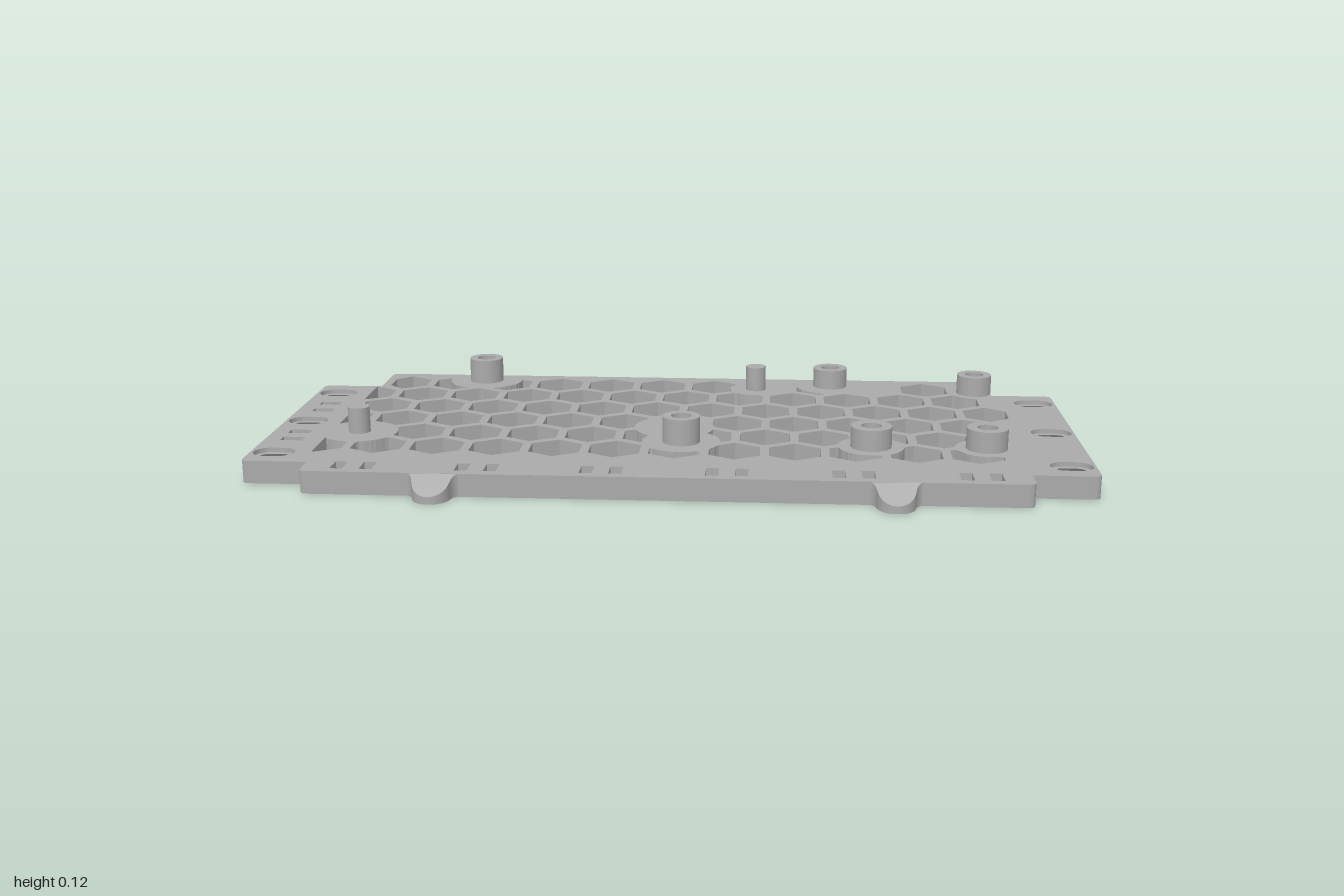
import * as THREE from 'three';

const T = 0.055; // plate thickness
const V = (x, z) => new THREE.Vector2(x, -z);

// bosses and posts: x, z, outer radius, hole radius, top height
const bosses = [
  [-0.562, -0.455, 0.046, 0.025, 0.12], [0.025, 0.14, 0.046, 0.025, 0.12],
  [0.406, -0.448, 0.046, 0.025, 0.107], [0.797, -0.39, 0.046, 0.025, 0.107],
  [0.487, 0.155, 0.05, 0.025, 0.107], [0.765, 0.155, 0.05, 0.025, 0.107],
];
const posts = [[0.2, -0.396], [-0.785, 0.1]];

// solid round areas that the honeycomb leaves free: x, z, radius
const pads = [
  [-0.562, -0.455, 0.1], [0.025, 0.14, 0.095], [0.406, -0.448, 0.095], [0.797, -0.39, 0.065],
  [0.487, 0.155, 0.08], [0.765, 0.155, 0.075], [0.2, -0.396, 0.07], [-0.785, 0.1, 0.095], [0, 0.01, 0.1],
];
const clearance = (x, z) => Math.min(...pads.map(([a, b, r]) => Math.hypot(x - a, z - b) - r));

// mounting slots at the two ends
const slotX = 0.943, slotZ = [0.295, 0.008, -0.28];
const CU = 0.057, CI = -0.08, CV = 0.058; // slot cell extents

function extrude(shape, y0, y1) {
  const g = new THREE.ExtrudeGeometry(shape, { depth: y1 - y0, bevelEnabled: false, curveSegments: 20 });
  return g.rotateX(-Math.PI / 2).translate(0, y0, 0);
}

function circle(x, z, r) {
  return new THREE.Path().absarc(x, -z, r, 0, Math.PI * 2, true);
}

function rect(x, z, w, d) {
  const a = w / 2, b = d / 2;
  return new THREE.Path([V(x - a, z - b), V(x + a, z - b), V(x + a, z + b), V(x - a, z + b)]);
}

// closed outline from [x, z, cornerRadius]
function roundedOutline(list) {
  const pts = [];
  list.forEach(([x, z, r = 0], i) => {
    const c = V(x, z);
    if (!r) { pts.push(c); return; }
    const [p, n] = [list[(i + list.length - 1) % list.length], list[(i + 1) % list.length]];
    const a = V(p[0], p[1]).sub(c).setLength(r).add(c);
    const b = V(n[0], n[1]).sub(c).setLength(r).add(c);
    pts.push(...new THREE.QuadraticBezierCurve(a, c, b).getPoints(6));
  });
  return new THREE.Shape(pts);
}

// hexagonal window, cut back where it meets a solid pad
function hexHole(cx, cz, minX, maxX) {
  const R = 0.071;
  const corner = (k, s = 1) => {
    const a = Math.PI / 6 + k * Math.PI / 3;
    return [cx + R * s * Math.cos(a), cz + R * s * Math.sin(a)];
  };
  let anchor = [cx, cz];
  if (clearance(cx, cz) < 0.015) {
    for (let k = 0; k < 6; k++) {
      const c = corner(k, 0.8);
      if (clearance(...c) > clearance(...anchor)) anchor = c;
    }
  }
  if (clearance(...anchor) < 0.008) return null;
  const touched = clearance(cx, cz) < R, steps = touched ? 8 : 1, pts = [];
  for (let k = 0; k < 6; k++) {
    const p = corner(k), q = corner(k + 1);
    for (let j = 0; j < steps; j++) {
      const x = p[0] + (q[0] - p[0]) * j / steps, z = p[1] + (q[1] - p[1]) * j / steps;
      let f = 1;
      for (let s = 1; touched && s <= 60; s++) {
        const t = s / 60;
        if (clearance(anchor[0] + (x - anchor[0]) * t, anchor[1] + (z - anchor[1]) * t) < 0) { f = (s - 1) / 60; break; }
      }
      const hx = anchor[0] + (x - anchor[0]) * f, hz = anchor[1] + (z - anchor[1]) * f;
      pts.push(V(Math.min(maxX, Math.max(minX, hx)), hz));
    }
  }
  return new THREE.Path(pts);
}

function plateGeometry() {
  const right = [[0.842, 0.443, 0.02], [0.842, 0.372], [1, 0.372, 0.017]];
  for (const c of slotZ) {
    right.push([1, c + CV], [slotX + CI, c + CV], [slotX + CI, c - CV], [1, c - CV]);
  }
  right.push([1, -0.36, 0.017], [0.842, -0.36], [0.842, -0.51, 0.02]);
  const left = right.map(([x, z, r]) => [-x, z, r]).reverse();
  const shape = roundedOutline([...right, ...left]);

  // honeycomb: first and last column in each row
  const rows = [[0, 10], [-1, 10], [0, 11], [-1, 10], [1, 10], [-1, 10]];
  rows.forEach(([first, last], r) => {
    for (let k = first; k <= last; k++) {
      if (r === 0 && (k === 7 || k === 9)) continue;
      const x = (r % 2 ? -0.7085 : -0.781) + k * 0.1444;
      const hole = hexHole(x, -0.41 + r * 0.1255, r ? -0.855 : -0.82, 0.857);
      if (hole) shape.holes.push(hole);
    }
  });
  // strap slots along the front and the one end
  for (let k = 0; k < 6; k++) {
    for (const s of [-1, 1]) shape.holes.push(rect(-0.725 + k * 0.29 + s * 0.034, 0.39, 0.03, 0.056));
  }
  for (const z of [-0.166, -0.097, 0.112, 0.178]) shape.holes.push(rect(-0.933, z, 0.054, 0.03));
  // round through holes
  shape.holes.push(circle(0, 0.01, 0.028));
  for (const [x, z, , r] of bosses) shape.holes.push(circle(x, z, r));
  return extrude(shape, 0, T);
}

// point on an obround around the slot centre
function obround(r, t) {
  return [r * Math.cos(t) + 0.015 * Math.sign(Math.round(Math.cos(t) * 1e6)), r * Math.sin(t)];
}

// slot with recess above and a countersink below that breaks out of the end wall
function mountingSlot(mat) {
  const g = new THREE.Group(), N = 40;
  const add = (geo) => g.add(new THREE.Mesh(geo, mat));
  const corners = [[CU, -CV], [CI, -CV], [CI, CV], [CU, CV]];

  const top = new THREE.Shape(corners.map(c => V(...c)));
  const ring = [];
  for (let i = 0; i < N; i++) ring.push(V(...obround(0.035, i / N * Math.PI * 2)));
  top.holes.push(new THREE.Path(ring));
  add(new THREE.ShapeGeometry(top).rotateX(-Math.PI / 2).translate(0, T, 0));

  const t0 = Math.acos(0.042 / 0.055);
  const under = corners.map(c => new THREE.Vector2(...c));
  for (let i = 0; i <= N; i++) under.push(new THREE.Vector2(...obround(0.055, t0 + i / N * 2 * (Math.PI - t0))));
  add(new THREE.ShapeGeometry(new THREE.Shape(under)).rotateX(Math.PI / 2));

  const wall = [new THREE.Vector2(CV, 0), new THREE.Vector2(CV, T), new THREE.Vector2(-CV, T), new THREE.Vector2(-CV, 0)];
  for (let i = 0; i <= 14; i++) {
    const z = -0.0355 + i / 14 * 0.071;
    wall.push(new THREE.Vector2(z, Math.max(0, (0.055 - Math.hypot(0.042, z)) / 0.8)));
  }
  add(new THREE.ShapeGeometry(new THREE.Shape(wall)).rotateY(Math.PI / 2).translate(CU, 0, 0));

  const levels = [[T, 0.035], [0.044, 0.035], [0.044, 0.02], [0.016, 0.0422], [0, 0.055]];
  const pos = [];
  const at = ([y, r], i) => {
    const [u, v] = obround(r, i / N * Math.PI * 2);
    return [Math.min(CU, u), y, v];
  };
  for (let l = 0; l < levels.length - 1; l++) {
    for (let i = 0; i < N; i++) {
      const a = at(levels[l], i), b = at(levels[l], i + 1), c = at(levels[l + 1], i), d = at(levels[l + 1], i + 1);
      pos.push(...a, ...c, ...b, ...b, ...c, ...d);
    }
  }
  const funnel = new THREE.BufferGeometry();
  funnel.setAttribute('position', new THREE.Float32BufferAttribute(pos, 3));
  funnel.computeVertexNormals();
  add(funnel);
  return g;
}

// rounded front tab with a sloping top
function tabGeometry() {
  const s = new THREE.Shape();
  s.moveTo(-0.065, -0.44);
  s.quadraticCurveTo(-0.048, -0.445, -0.044, -0.465);
  s.bezierCurveTo(-0.035, -0.518, 0.035, -0.518, 0.044, -0.465);
  s.quadraticCurveTo(0.048, -0.445, 0.065, -0.44);
  const g = extrude(s, 0, T), p = g.attributes.position;
  for (let i = 0; i < p.count; i++) {
    if (p.getY(i) > 0.01) p.setY(i, T - 0.6 * Math.max(0, p.getZ(i) - 0.443));
  }
  g.computeVertexNormals();
  return g;
}

export function createModel() {
  const model = new THREE.Group();
  const grey = new THREE.MeshStandardMaterial({ color: 0xaaaaaa });
  grey.name = 'grey plastic';
  const add = (geo, name, x = 0, z = 0) => {
    const m = new THREE.Mesh(geo, grey);
    m.name = name;
    m.position.set(x, 0, z);
    model.add(m);
  };

  add(plateGeometry(), 'honeycombPlate');
  for (const side of [1, -1]) {
    for (const z of slotZ) {
      const slot = mountingSlot(grey);
      slot.name = 'mountingSlot';
      slot.position.set(side * slotX, 0, z);
      if (side < 0) slot.rotation.y = Math.PI;
      model.add(slot);
    }
    add(tabGeometry(), 'frontTab', side * 0.528);
  }
  for (const [x, z, ro, ri, h] of bosses) {
    const ring = new THREE.Shape().absarc(0, 0, ro, 0, Math.PI * 2);
    ring.holes.push(circle(0, 0, ri));
    add(extrude(ring, T, h), 'screwBoss', x, z);
  }
  for (const [x, z] of posts) {
    add(new THREE.CylinderGeometry(0.027, 0.027, 0.07, 32).translate(0, 0.085, 0), 'locatingPost', x, z);
  }
  return model;
}
